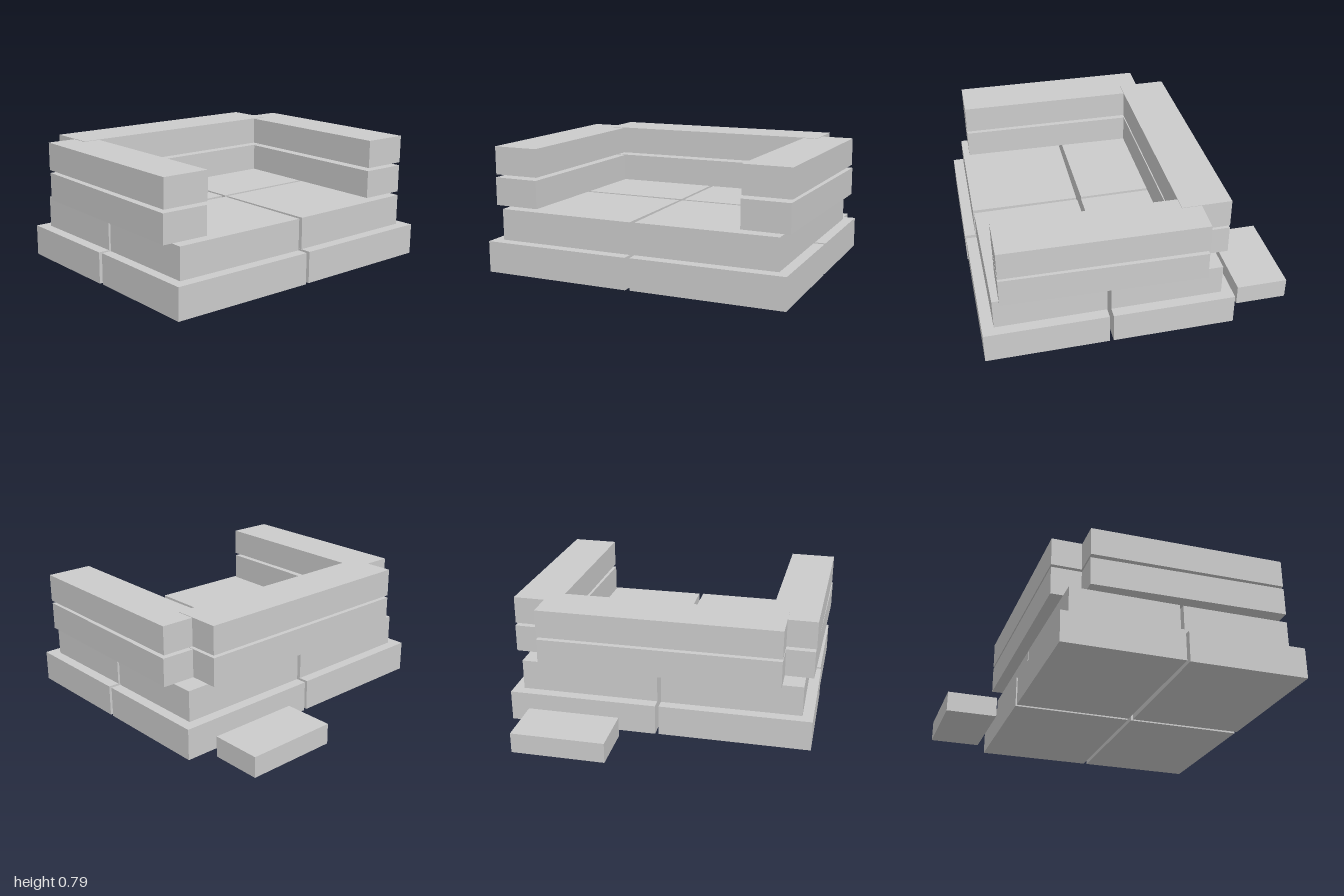
import * as THREE from 'three';

export function createModel() {
  const model = new THREE.Group();
  const stone = new THREE.MeshStandardMaterial({ color: 0xcccccc });
  stone.name = 'pale grey stone';

  // Block given by its extents, with a slight hand-laid turn about its centre
  function block(name, [x0, x1], [y0, y1], [z0, z1], turn = 0) {
    const mesh = new THREE.Mesh(new THREE.BoxGeometry(x1 - x0, y1 - y0, z1 - z0), stone);
    mesh.position.set((x0 + x1) / 2, (y0 + y1) / 2, (z0 + z1) / 2);
    mesh.rotation.y = turn;
    mesh.name = name;
    model.add(mesh);
  }

  // Base course: four slabs split by a cross-shaped gap
  const low = [0, 0.2];
  block('baseFrontRight', [-0.985, -0.015], low, [0.215, 0.985], -0.01);
  block('baseFrontLeft', [0.01, 0.98], low, [0.215, 0.985]);
  block('baseBackRight', [-0.987, -0.013], low, [-0.582, 0.187]);
  block('baseBackLeft', [0.01, 0.98], low, [-0.585, 0.19]);

  // Second course, stepped in
  const mid = [0.2, 0.4];
  block('seatFrontRight', [-0.92, -0.015], mid, [0.215, 0.915], -0.01);
  block('seatFrontLeft', [0.01, 0.912], mid, [0.215, 0.913], 0.004);
  block('seatBackRight', [-0.917, -0.013], mid, [-0.515, 0.187], 0.004);
  block('seatBackLeft', [0.01, 0.912], mid, [-0.515, 0.19]);

  // Two layers of back and arm beams
  [['lower', 0.41, -0.025], ['upper', 0.61, -0.017]].forEach(([layer, y, turn]) => {
    block(layer + 'Back', [-0.785, 0.78], [y, y + 0.183], [-0.588, -0.272]);
    block(layer + 'RightArm', [-0.985, -0.683], [y, y + 0.18], [-0.395, 0.867], turn);
    block(layer + 'LeftArm', [0.676, 0.98], [y, y + 0.18], [-0.395, 0.867], turn);
  });

  // Loose step behind
  block('backStep', [0.23, 0.83], [0, 0.133], [-0.993, -0.662]);

  return model;
}
